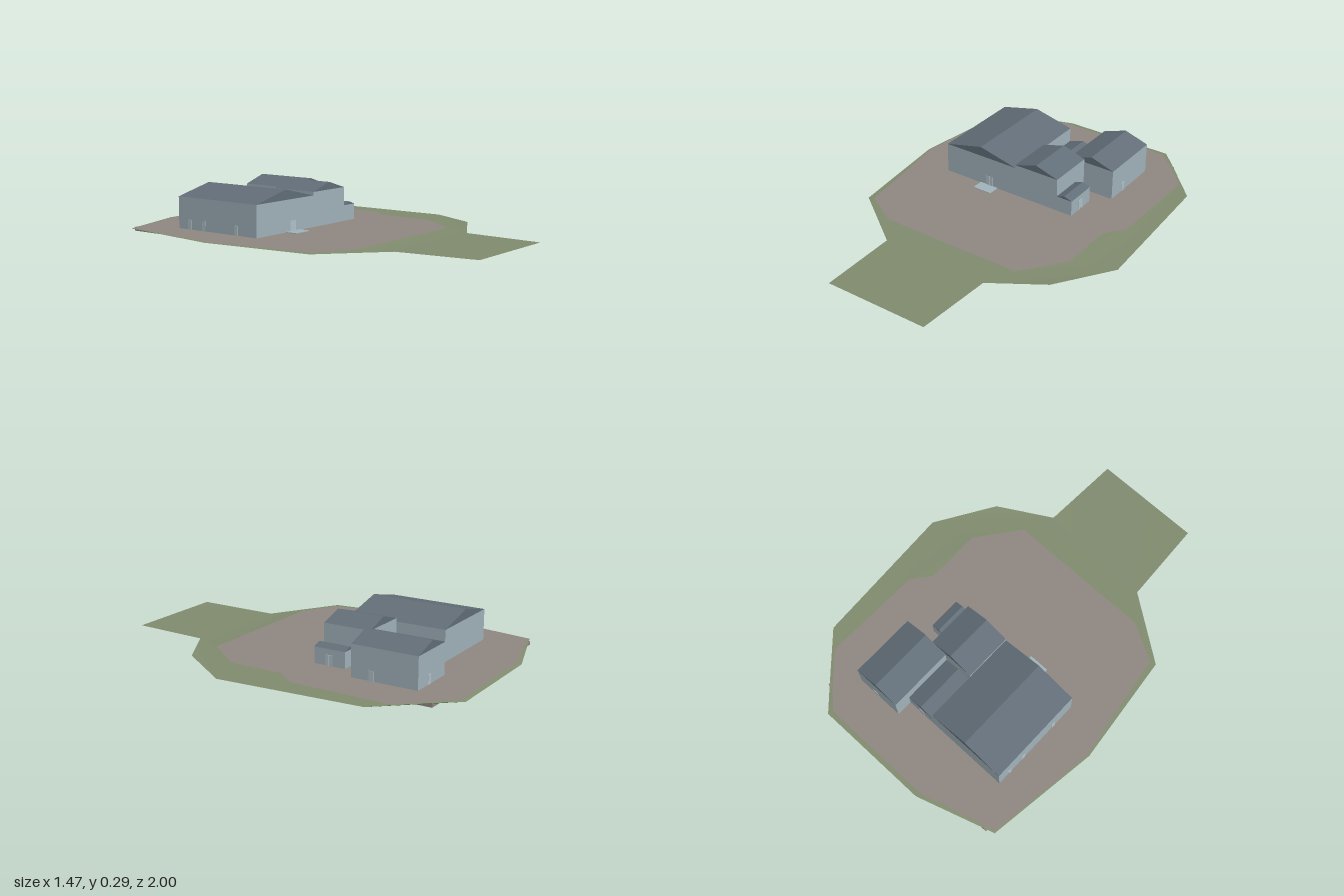
import * as THREE from 'three';

const GROUND = 0.07;

const mat = (name, color, side = THREE.FrontSide) => {
  const m = new THREE.MeshStandardMaterial({ color, side });
  m.name = name;
  return m;
};

export function createModel() {
  const model = new THREE.Group();
  model.name = 'buildingSite';

  const wall = mat('paleWall', 0xa3b5bd);
  const roof = mat('slateRoof', 0x636f79);
  const door = mat('lightDoor', 0xb3c3ca);
  const gravel = mat('gravel', 0x918a83, THREE.DoubleSide);
  const grass = mat('grass', 0x828d70, THREE.DoubleSide);

  const add = (name, geometry, material, parent = model) => {
    const mesh = new THREE.Mesh(geometry, material);
    mesh.name = name;
    parent.add(mesh);
    return mesh;
  };

  // Box given by its limits on each axis
  const block = (name, x0, x1, y0, y1, z0, z1, material, parent) => {
    const g = new THREE.BoxGeometry(x1 - x0, y1 - y0, z1 - z0);
    g.translate((x0 + x1) / 2, (y0 + y1) / 2, (z0 + z1) / 2);
    return add(name, g, material, parent);
  };

  // Plan outlines are x, z pairs; shapes are laid flat afterwards
  const planPoints = (pts) => pts.map(([x, z]) => new THREE.Vector2(x, -z));
  const planShape = (outer, hole) => {
    const s = new THREE.Shape(planPoints(outer));
    s.holes.push(new THREE.Path(planPoints(hole)));
    return s;
  };

  // Site edge: x, z, height
  const siteEdge = [
    [-0.24, -1, 0.066], [0.38, -1, 0.066], [0.49, -0.88, 0.07], [0.69, -0.66, 0.07],
    [0.73, 0.12, 0.066], [0.54, 0.42, 0.076], [0.27, 0.58, 0.068], [0.25, 1, 0.067],
    [-0.32, 1, 0.067], [-0.34, 0.56, 0.059], [-0.67, 0.32, 0.068],
    [-0.735, -0.27, 0.068], [-0.65, -0.87, 0.068],
  ];
  const gravelEdge = [
    [-0.25, -0.975], [0.37, -0.975], [0.47, -0.88], [0.6, -0.74], [0.59, -0.2],
    [0.51, -0.1], [0.51, 0.2], [0.34, 0.42], [-0.45, 0.42], [-0.64, 0.31],
    [-0.67, 0.1], [-0.725, -0.27], [-0.645, -0.86],
  ];
  // Building outline, including the entrance step
  const footprint = [
    [-0.5, -0.145], [-0.5, -0.675], [0.115, -0.675], [0.115, -0.76], [0.38, -0.76],
    [0.38, -0.405], [0.205, -0.405], [0.205, -0.32], [0.295, -0.32], [0.295, -0.145],
    [-0.17, -0.145], [-0.17, -0.08], [-0.28, -0.08], [-0.28, -0.145],
  ];

  // Grass border, its outer corners lifted or lowered
  const grassGeo = new THREE.ShapeGeometry(planShape(siteEdge, gravelEdge)).rotateX(-Math.PI / 2);
  const p = grassGeo.attributes.position;
  for (let i = 0; i < p.count; i++) {
    const corner = siteEdge.find(([x, z]) => Math.hypot(x - p.getX(i), z - p.getZ(i)) < 1e-4);
    p.setY(i, corner ? corner[2] : GROUND);
  }
  grassGeo.computeVertexNormals();
  add('grassBorder', grassGeo, grass);

  // Gravel yard
  const yard = new THREE.ShapeGeometry(planShape(gravelEdge, footprint)).rotateX(-Math.PI / 2);
  add('gravelYard', yard.translate(0, GROUND, 0), gravel);

  // Foundation slab around the building
  const slabEdge = [[-0.61, -0.89], [0.49, -0.89], [0.49, -0.005], [-0.61, -0.005]];
  const slab = new THREE.ExtrudeGeometry(planShape(slabEdge, footprint), { depth: 0.019, bevelEnabled: false });
  add('foundationSlab', slab.rotateX(-Math.PI / 2).translate(0, 0.05, 0), gravel);

  // Cellar and entrance step
  block('cellar', -0.21, -0.055, 0, GROUND - 0.001, -0.67, -0.27, wall);
  block('entranceStep', -0.28, -0.17, GROUND - 0.001, GROUND + 0.003, -0.145, -0.08, wall);

  // Wings: x range, z range, eaves and ridge heights; all ridges run front to back
  const wings = [
    ['mainHall', -0.5, -0.055, -0.675, -0.145, 0.235, 0.288],
    ['frontWing', -0.055, 0.205, -0.405, -0.145, 0.253, 0.293],
    ['backWing', 0.115, 0.38, -0.76, -0.405, 0.235, 0.278],
    ['linkBuilding', -0.055, 0.115, -0.675, -0.405, 0.155, 0.182],
    ['sidePorch', 0.205, 0.295, -0.32, -0.145, 0.155, 0.171],
  ];
  for (const [name, x0, x1, z0, z1, eaves, ridge] of wings) {
    const wing = new THREE.Group();
    wing.name = name;
    model.add(wing);
    block('walls', x0, x1, GROUND, eaves, z0, z1, wall, wing);
    const gable = new THREE.Shape([
      new THREE.Vector2(x0, eaves), new THREE.Vector2(x1, eaves), new THREE.Vector2((x0 + x1) / 2, ridge),
    ]);
    const g = new THREE.ExtrudeGeometry(gable, { depth: z1 - z0, bevelEnabled: false });
    add('gableRoof', g.translate(0, 0, z0), roof, wing);
  }

  // Doors: centre x, z, width, height, leaves, turn about y
  const doors = [
    ['frontDoor', -0.222, -0.145, 0.046, 0.055, 2, 0],
    ['porchDoor', 0.295, -0.23, 0.042, 0.055, 2, Math.PI / 2],
    ['wingSideDoor', 0.38, -0.515, 0.03, 0.05, 1, Math.PI / 2],
    ['wingBackDoor', 0.27, -0.76, 0.03, 0.05, 1, Math.PI],
    ['linkBackDoor', 0.03, -0.675, 0.03, 0.05, 1, Math.PI],
    ['hallSideDoor', -0.5, -0.6, 0.025, 0.05, 1, -Math.PI / 2],
    ['hallSideDoor', -0.5, -0.5, 0.025, 0.05, 1, -Math.PI / 2],
    ['hallSideDoor', -0.5, -0.28, 0.025, 0.05, 1, -Math.PI / 2],
  ];
  for (const [name, x, z, w, h, leaves, turn] of doors) {
    const group = new THREE.Group();
    group.name = name;
    group.position.set(x, GROUND, z);
    group.rotation.y = turn;
    model.add(group);
    const leaf = w / leaves;
    for (let i = 0; i < leaves; i++) {
      const left = -w / 2 + i * leaf;
      block('doorLeaf', left + 0.001, left + leaf - 0.001, 0, h, -0.001, 0.002, door, group);
    }
  }
  return model;
}
